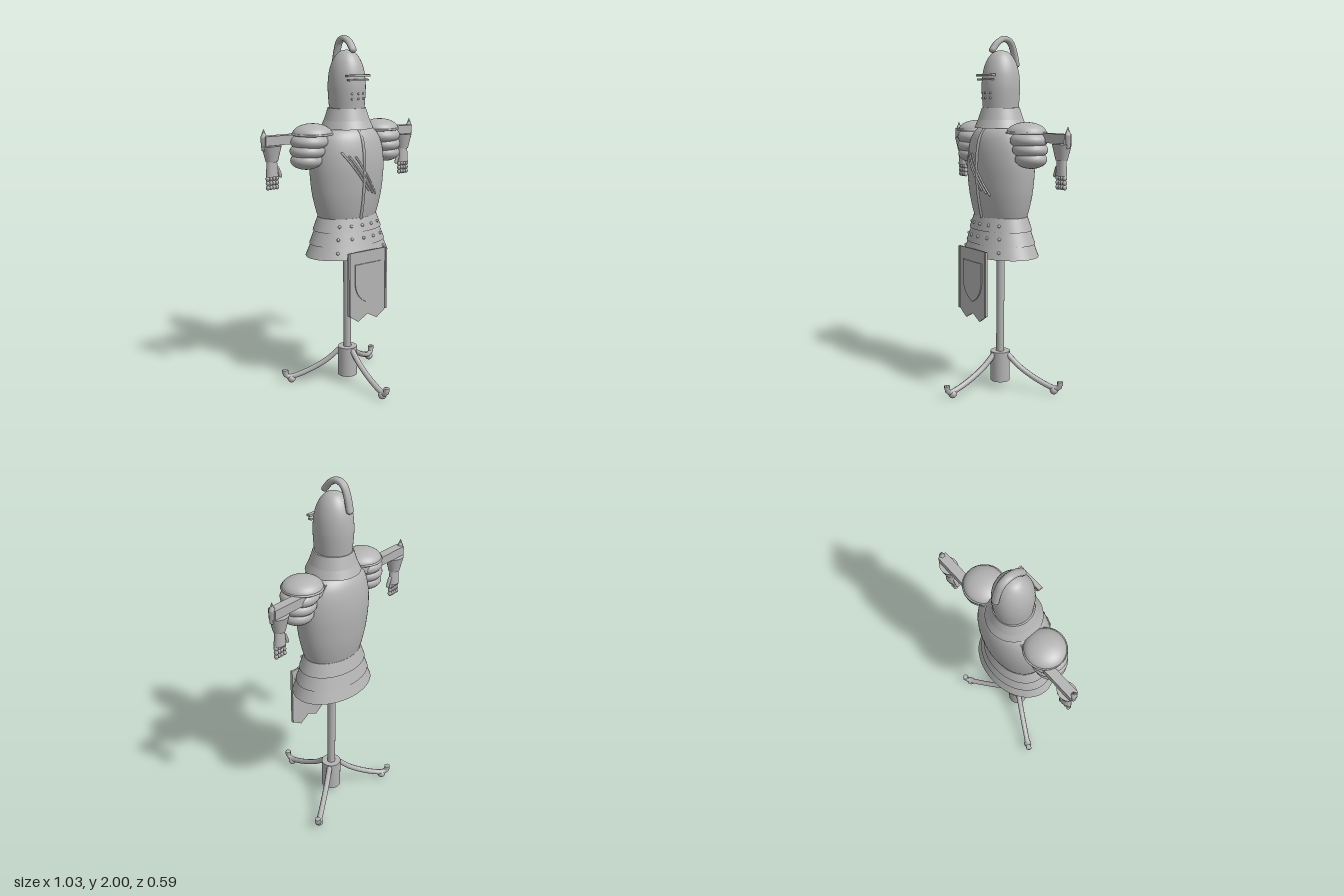
import * as THREE from 'three';

const CZ = -0.093; // depth of the central axis
const DEPTH = 0.72; // torso depth relative to width
const V2 = (x, y) => new THREE.Vector2(x, y);
const V3 = (x, y, z) => new THREE.Vector3(x, y, z);

export function createModel() {
  const model = new THREE.Group();
  const steel = new THREE.MeshStandardMaterial({ color: 0xb4b4b4 });
  steel.name = 'steel';

  const add = (parent, name, geo, x = 0, y = 0, z = 0) => {
    const m = new THREE.Mesh(geo, steel);
    m.name = name;
    m.position.set(x, y, z);
    parent.add(m);
    return m;
  };
  const group = (name, parent = model) => {
    const g = new THREE.Group();
    g.name = name;
    parent.add(g);
    return g;
  };
  const ball = (r, w = 10, h = 8) => new THREE.SphereGeometry(r, w, h);
  // Tapered band between two heights
  const band = (parent, name, rTop, rBottom, yTop, yBottom, depth = 1) => {
    const m = add(parent, name, new THREE.CylinderGeometry(rTop, rBottom, yTop - yBottom, 48), 0, (yTop + yBottom) / 2, CZ);
    m.scale.z = depth;
    return m;
  };
  const tube = (points, r, segments = 24, sides = 8) =>
    new THREE.TubeGeometry(new THREE.CatmullRomCurve3(points), segments, r, sides);
  // Rounded ends close the open tubes
  const cappedTube = (parent, name, points, r, sides = 8) => {
    add(parent, name, tube(points, r, 24, sides));
    for (const p of [points[0], points[points.length - 1]]) add(parent, name + 'End', ball(r, sides, 6), p.x, p.y, p.z);
  };

  // Stand: pole, hub and three curved legs with upturned toes
  const stand = group('stand');
  add(stand, 'pole', new THREE.CylinderGeometry(0.023, 0.023, 0.7, 24), 0, 0.5, CZ);
  add(stand, 'hub', new THREE.CylinderGeometry(0.056, 0.056, 0.175, 32), 0, 0.1275, CZ);
  for (let i = 0; i < 3; i++) {
    const leg = group('leg', stand);
    leg.position.z = CZ;
    leg.rotation.y = (i * Math.PI * 2) / 3;
    cappedTube(leg, 'legBar', [
      V3(0, 0.2, 0.045), V3(0, 0.135, 0.12), V3(0, 0.08, 0.215), V3(0, 0.045, 0.3),
      V3(0, 0.036, 0.34), V3(0, 0.045, 0.363), V3(0, 0.064, 0.367),
    ], 0.016);
    add(leg, 'foot', ball(0.024, 14, 10), 0, 0.024, 0.332);
    add(leg, 'toe', new THREE.CylinderGeometry(0.018, 0.018, 0.02, 6), 0, 0.068, 0.368);
  }

  // Breastplate
  const body = group('torso');
  const profile = new THREE.SplineCurve([
    V2(0.177, 1.0), V2(0.196, 1.06), V2(0.216, 1.15), V2(0.227, 1.26),
    V2(0.225, 1.34), V2(0.212, 1.41), V2(0.187, 1.465), V2(0.145, 1.5), V2(0.07, 1.52),
  ]).getPoints(40);
  add(body, 'breastplate', new THREE.LatheGeometry(profile, 64), 0, 0, CZ).scale.z = DEPTH;
  const onChest = (x, y) => {
    let i = 1;
    while (i < profile.length - 1 && profile[i].y < y) i++;
    const a = profile[i - 1], b = profile[i];
    const r = a.x + ((b.x - a.x) * (y - a.y)) / (b.y - a.y);
    return V3(x, y, CZ + DEPTH * Math.sqrt(Math.max(0, r * r - x * x)));
  };
  const chestBar = (name, x0, y0, x1, y1, r) => {
    const pts = [];
    for (let i = 0; i <= 10; i++) pts.push(onChest(x0 + ((x1 - x0) * i) / 10, y0 + ((y1 - y0) * i) / 10));
    cappedTube(body, name, pts, r, 6);
  };
  chestBar('centreRidge', 0, 1.01, 0, 1.495, 0.009);
  chestBar('diagonalBar', -0.127, 1.38, 0.035, 1.165, 0.006);
  chestBar('diagonalBar', -0.09, 1.36, 0.065, 1.15, 0.006);
  chestBar('diagonalBar', -0.053, 1.355, 0.09, 1.14, 0.006);

  // Skirt of three flared bands with front rivets
  const skirt = group('skirt');
  const tiers = [
    [0.182, 0.212, 1.01, 0.935, 0.97, [-0.13, -0.068, 0, 0.068, 0.13]],
    [0.2, 0.234, 0.94, 0.86, 0.9, [-0.145, -0.073, 0, 0.073, 0.145]],
    [0.223, 0.257, 0.865, 0.79, 0.828, [-0.158, 0.158]],
  ];
  for (const [rt, rb, yt, yb, ry, xs] of tiers) {
    band(skirt, 'skirtBand', rt, rb, yt, yb, DEPTH);
    const r = rt + ((rb - rt) * (yt - ry)) / (yt - yb);
    for (const x of xs) add(skirt, 'rivet', ball(0.009), x, ry, CZ + DEPTH * Math.sqrt(r * r - x * x));
  }

  // Hanging banner with a raised shield
  const banner = group('banner');
  const cloth = new THREE.Shape([
    V2(-0.128, 0.835), V2(-0.128, 0.475), V2(-0.065, 0.432), V2(0, 0.468), V2(0.065, 0.432), V2(0.128, 0.475), V2(0.128, 0.835),
  ]);
  add(banner, 'cloth', new THREE.ExtrudeGeometry(cloth, { depth: 0.008, bevelEnabled: false }), 0, 0, 0.092);
  for (const s of [-1, 1]) add(banner, 'sideTrim', new THREE.BoxGeometry(0.01, 0.36, 0.015), s * 0.127, 0.655, 0.099);
  const shield = new THREE.Shape();
  shield.moveTo(-0.088, 0.765);
  shield.lineTo(-0.088, 0.65);
  shield.quadraticCurveTo(-0.08, 0.57, 0, 0.535);
  shield.quadraticCurveTo(0.08, 0.57, 0.088, 0.65);
  shield.lineTo(0.088, 0.765);
  shield.closePath();
  add(banner, 'shield', new THREE.ExtrudeGeometry(shield, { depth: 0.006, bevelEnabled: false }), 0, 0, 0.1);

  // Neck guard
  const neck = group('neckGuard');
  band(neck, 'upperCollar', 0.105, 0.128, 1.61, 1.54);
  band(neck, 'lowerCollar', 0.124, 0.147, 1.55, 1.5);

  // Helmet with visor slats, breathing studs and crest
  const helmet = group('helmet');
  const dome = new THREE.SplineCurve([
    V2(0.095, 1.6), V2(0.101, 1.68), V2(0.102, 1.74), V2(0.094, 1.81),
    V2(0.073, 1.87), V2(0.04, 1.91), V2(0, 1.922),
  ]).getPoints(32);
  dome[dome.length - 1].x = 0;
  add(helmet, 'dome', new THREE.LatheGeometry(dome, 48), 0, 0, CZ).scale.z = 1.06;
  add(helmet, 'visorSlat', new THREE.BoxGeometry(0.15, 0.011, 0.022), 0, 1.786, 0.011);
  add(helmet, 'visorSlat', new THREE.BoxGeometry(0.13, 0.009, 0.022), 0, 1.763, 0.011);
  for (const x of [-0.037, 0, 0.037]) {
    for (const y of [1.69, 1.662]) add(helmet, 'stud', ball(0.006), x, y, CZ + 1.06 * Math.sqrt(0.0102 - x * x));
  }
  const crest = group('crest', helmet);
  crest.scale.x = 1.3;
  cappedTube(crest, 'crestArch', [
    V3(0, 1.922, -0.035), V3(0, 1.962, -0.07), V3(0, 1.983, -0.115),
    V3(0, 1.968, -0.155), V3(0, 1.92, -0.18), V3(0, 1.845, -0.2),
  ], 0.017);

  // Cross beam that carries the arms
  add(model, 'crossBeam', new THREE.BoxGeometry(1.0, 0.05, 0.05), 0, 1.455, -0.148);

  for (const s of [1, -1]) {
    const side = s > 0 ? 'left' : 'right';

    // Shoulder: domed cap over three overlapping plates
    const shoulder = group(side + 'Shoulder');
    const plates = [
      [0.25, 1.44, 0.105, 0.052, 0.1],
      [0.262, 1.39, 0.098, 0.05, 0.095],
      [0.27, 1.34, 0.088, 0.05, 0.085],
    ];
    add(shoulder, 'shoulderCap', new THREE.SphereGeometry(1, 32, 12, 0, Math.PI * 2, 0, Math.PI / 2), s * 0.23, 1.478, CZ)
      .scale.set(0.11, 0.058, 0.106);
    const rim = add(shoulder, 'shoulderRim', new THREE.TorusGeometry(0.107, 0.006, 8, 40), s * 0.23, 1.48, CZ);
    rim.rotation.x = Math.PI / 2;
    for (const [x, y, rx, ry, rz] of plates) {
      add(shoulder, 'shoulderPlate', ball(1, 32, 16), s * x, y, CZ).scale.set(rx, ry, rz);
    }

    // Pointed finial at the beam end
    const finial = group(side + 'Finial');
    finial.position.set(s * 0.499, 1.455, -0.148);
    add(finial, 'tip', new THREE.CylinderGeometry(0, 0.018, 0.045, 6), 0, 0.0425);
    add(finial, 'shaft', new THREE.CylinderGeometry(0.018, 0.013, 0.07, 6), 0, -0.015);

    // Gauntlet: flared cuff, hand, jointed fingers and thumb
    const glove = group(side + 'Gauntlet');
    glove.position.set(s * 0.453, 0, -0.148);
    add(glove, 'cuff', new THREE.CylinderGeometry(0.056, 0.034, 0.085, 24), 0, 1.385).scale.z = 0.84;
    add(glove, 'hand', new THREE.CylinderGeometry(0.03, 0.036, 0.08, 20), 0, 1.303).scale.z = 0.7;
    for (let f = 0; f < 4; f++) {
      for (let j = 0; j < 3; j++) {
        add(glove, 'fingerJoint', ball(0.0105), (f - 1.5) * 0.0185, 1.252 - j * 0.024).scale.set(1, 1.35, 1.3);
      }
    }
    const thumb = add(glove, 'thumb', new THREE.CapsuleGeometry(0.01, 0.045, 4, 10), s * -0.043, 1.283);
    thumb.rotation.z = s * -0.35;
  }

  return model;
}
